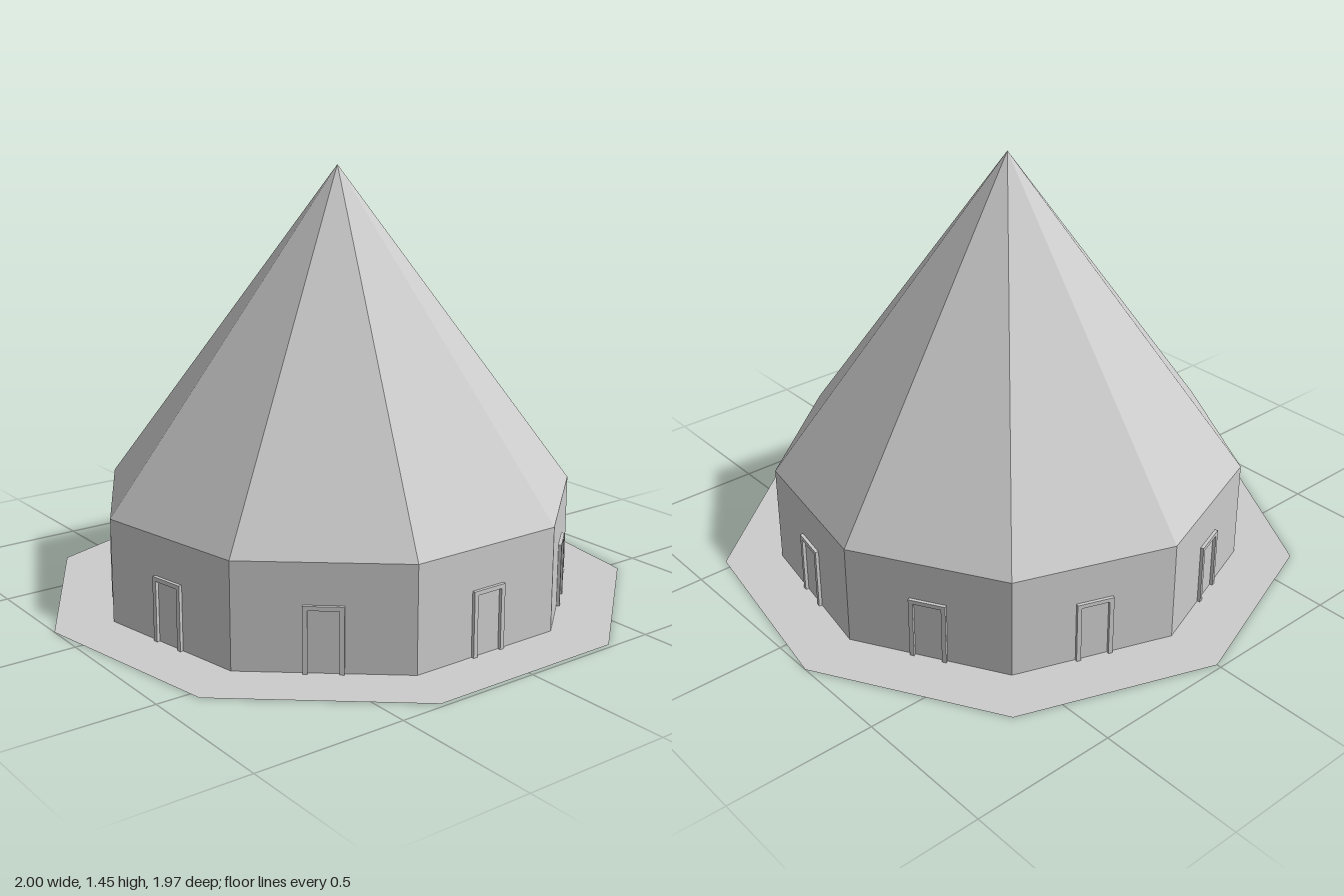
import * as THREE from 'three';

const SIDES = 9;
const WALL_R = 0.817, WALL_H = 0.35, PEAK = 1.45, BASE_R = 1.0154;

export function createModel() {
  const model = new THREE.Group();
  model.name = 'roundTent';
  const grey = new THREE.MeshStandardMaterial({ color: 0xcccccc, flatShading: true, side: THREE.DoubleSide });
  grey.name = 'plain grey';

  // everything shares one nine-sided axis, a flat side facing the front
  const body = new THREE.Group();
  body.name = 'body';
  body.position.z = 0.0306;
  model.add(body);

  const add = (name, geometry, parent = body) => {
    const mesh = new THREE.Mesh(geometry, grey);
    mesh.name = name;
    parent.add(mesh);
    return mesh;
  };

  // paper-thin ground plate, one corner pointing back
  const plate = new THREE.CircleGeometry(BASE_R, SIDES, Math.PI / 2);
  plate.rotateX(-Math.PI / 2);
  add('groundPlate', plate);

  // upright wall ring and pointed roof
  const wall = new THREE.CylinderGeometry(WALL_R, WALL_R, WALL_H, SIDES, 1, true, Math.PI);
  wall.translate(0, WALL_H / 2, 0);
  add('wall', wall);
  const roof = new THREE.ConeGeometry(WALL_R, PEAK - WALL_H, SIDES, 1, true, Math.PI);
  roof.translate(0, (PEAK + WALL_H) / 2, 0);
  add('roof', roof);

  // raised door frame in the middle of every wall face
  const outer = 0.063, inner = 0.048, top = 0.216, innerTop = 0.202;
  const outline = new THREE.Shape([
    [-outer, 0], [-inner, 0], [-inner, innerTop], [inner, innerTop],
    [inner, 0], [outer, 0], [outer, top], [-outer, top],
  ].map(([x, y]) => new THREE.Vector2(x, y)));
  const frame = new THREE.ExtrudeGeometry(outline, { depth: 0.011, bevelEnabled: false });
  frame.translate(0, 0, WALL_R * Math.cos(Math.PI / SIDES));
  for (let i = 0; i < SIDES; i++) {
    add('doorFrame' + (i + 1), frame).rotation.y = (i * 2 * Math.PI) / SIDES;
  }
  return model;
}
